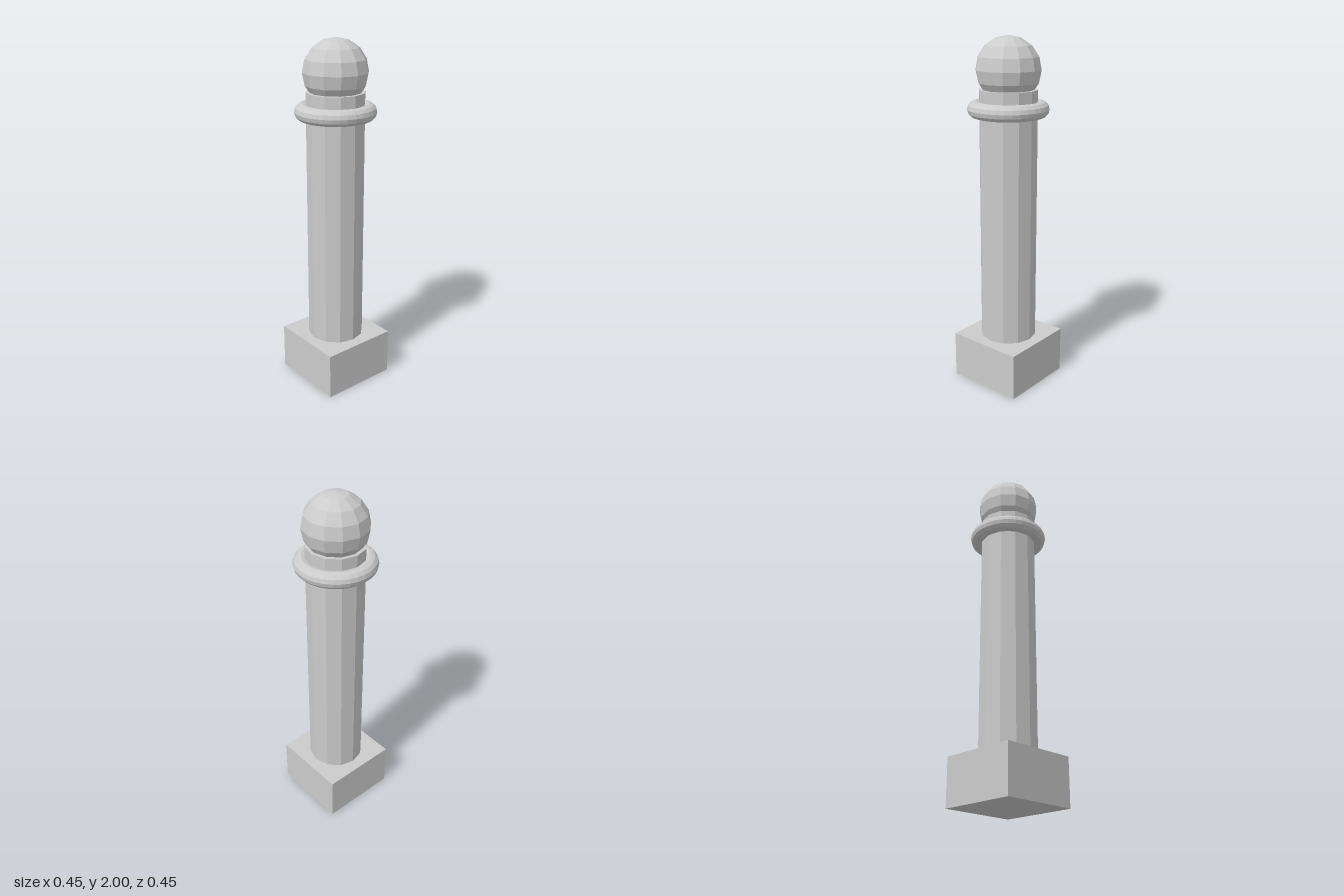
import * as THREE from 'three';

export function createModel() {
  const group = new THREE.Group();
  const material = new THREE.MeshStandardMaterial({ color: 0xcccccc, flatShading: true });

  const add = (name, geometry, y) => {
    const mesh = new THREE.Mesh(geometry, material);
    mesh.name = name;
    mesh.position.y = y;
    group.add(mesh);
    return mesh;
  };

  // Square plinth
  add('base', new THREE.BoxGeometry(0.45, 0.27, 0.45), 0.135);

  // Twelve-sided shaft, its flat top showing as a ledge under the ball
  const bottom = 0.27, top = 1.715;
  add('shaft', new THREE.CylinderGeometry(0.162, 0.162, top - bottom, 12), (bottom + top) / 2);

  // Rounded collar ring
  add('collar', new THREE.TorusGeometry(0.18, 0.045, 12, 32).rotateX(Math.PI / 2), 1.61);

  // Faceted ball finial
  add('ball', new THREE.SphereGeometry(0.18, 12, 8), 1.82);

  return group;
}
